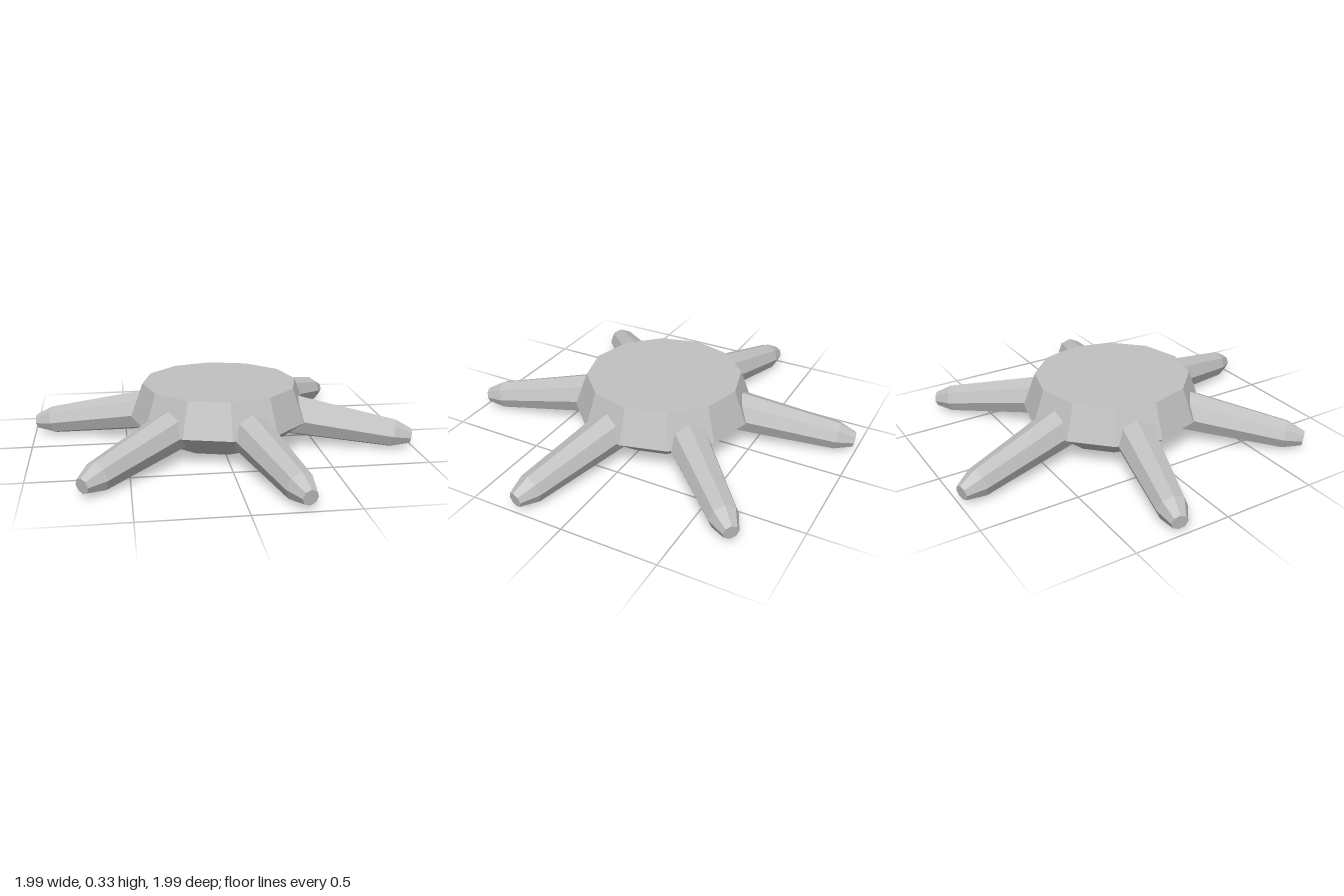
import * as THREE from 'three';

const lathe = (points, sides) =>
  new THREE.LatheGeometry(points.map(([r, y]) => new THREE.Vector2(r, y)), sides);

export function createModel() {
  const model = new THREE.Group();
  const grey = new THREE.MeshStandardMaterial({ color: 0xc0c0c0, flatShading: true });
  grey.name = 'plain grey';

  // Twelve-sided hub: narrow base, wide rim, flat top
  const hub = new THREE.Mesh(
    lathe([[0, 0.025], [0.315, 0.025], [0.475, 0.15], [0.41, 0.33], [0, 0.33]], 12), grey);
  hub.name = 'hub';
  model.add(hub);

  // Tapered octagonal arm with a bevelled tip, laid along +x and tilted down
  const armGeometry = lathe(
    [[0, -0.65], [0.115, -0.65], [0.075, 0], [0.04, 0.095], [0, 0.095]], 8);
  armGeometry.rotateZ(-Math.PI / 2 - THREE.MathUtils.degToRad(8.7));
  armGeometry.translate(0.925, 0.076, 0);

  // Six arms, each centred on a hub facet
  for (let i = 0; i < 6; i++) {
    const arm = new THREE.Mesh(armGeometry, grey);
    arm.name = `arm${i + 1}`;
    arm.rotation.y = -THREE.MathUtils.degToRad(15 + i * 60);
    model.add(arm);
  }
  return model;
}
